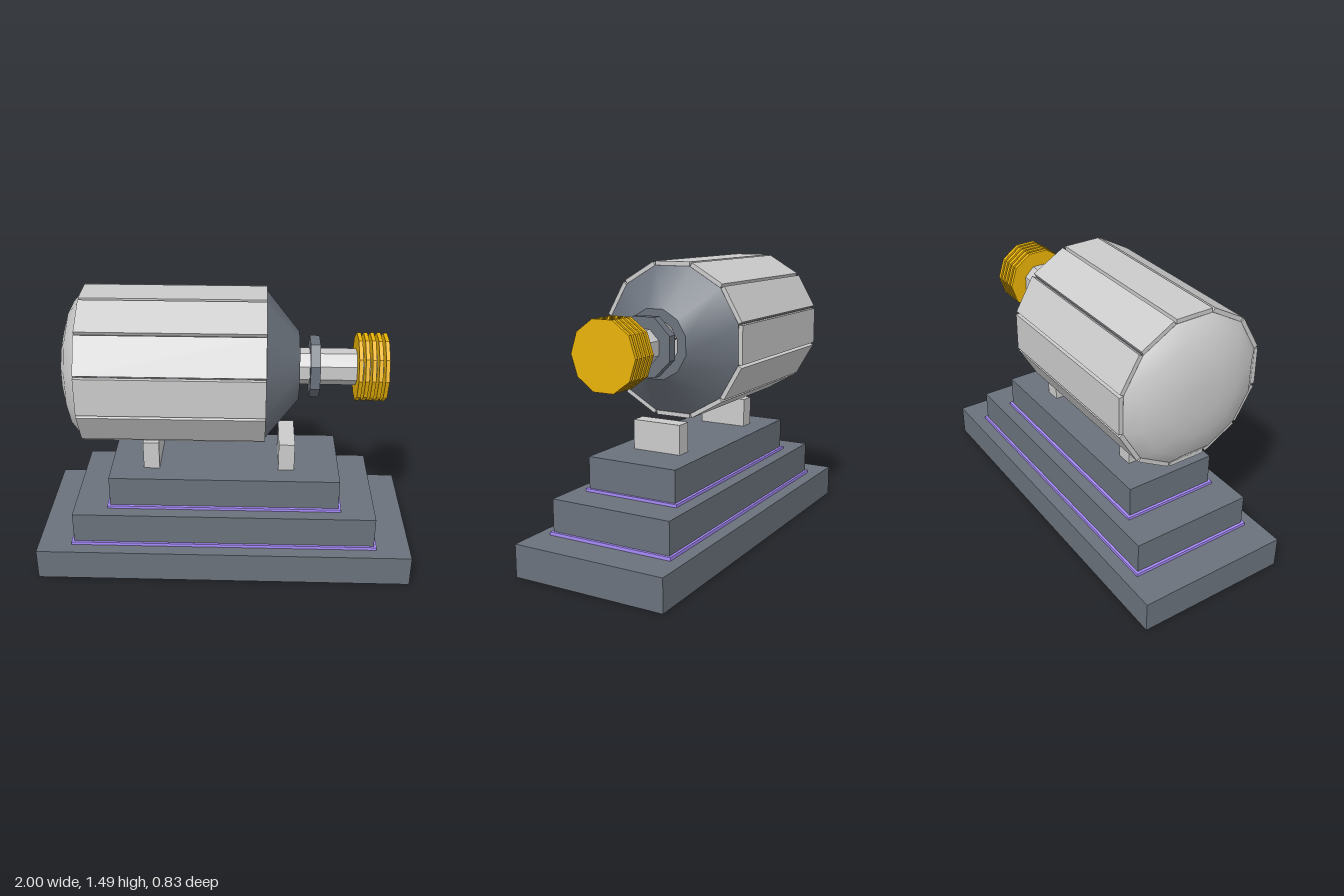
import * as THREE from 'three';

const mat = (color, extra = {}) => new THREE.MeshStandardMaterial({ color, ...extra });
const grey = mat(0xcccccc, { flatShading: true });
const greySmooth = mat(0xcccccc);
const slate = mat(0x6b727c, { flatShading: true });
const slateSmooth = mat(0x6b727c);
const gold = mat(0xeab308, { flatShading: true });
const violet = mat(0xa78bfa, { flatShading: true });

const AXIS = 1.09; // height of the barrel axis

export function createModel() {
  const model = new THREE.Group();

  const add = (name, geometry, material, parent = model) => {
    const mesh = new THREE.Mesh(geometry, material);
    mesh.name = name;
    parent.add(mesh);
    return mesh;
  };

  // Box centred on z, given x and y ranges and half depth
  const block = (name, x0, x1, y0, y1, halfZ, material) =>
    add(name, new THREE.BoxGeometry(x1 - x0, y1 - y0, halfZ * 2), material)
      .position.set((x0 + x1) / 2, (y0 + y1) / 2, 0);

  // Stepped plinth with thin trim strips
  block('plinthBottom', -1, 1, 0, 0.17, 0.415, slate);
  block('lowerTrim', -0.82, 0.82, 0.168, 0.187, 0.346, violet);
  block('plinthMiddle', -0.806, 0.806, 0.17, 0.355, 0.333, slate);
  block('upperTrim', -0.626, 0.626, 0.353, 0.37, 0.265, violet);
  block('plinthTop', -0.612, 0.612, 0.355, 0.535, 0.25, slate);

  // Support feet
  block('rearSupport', -0.435, -0.35, 0.535, 0.69, 0.136, grey);
  block('frontSupport', 0.288, 0.373, 0.535, 0.69, 0.136, grey);

  // Everything turned around the horizontal axis
  const barrel = new THREE.Group();
  barrel.name = 'barrel';
  barrel.position.y = AXIS;
  model.add(barrel);

  const drum = (name, x0, x1, radius, sides, start, material, open = false) => {
    const g = new THREE.CylinderGeometry(radius, radius, x1 - x0, sides, 1, open, start);
    g.rotateZ(-Math.PI / 2).translate((x0 + x1) / 2, 0, 0);
    return add(name, g, material, barrel);
  };
  // Profile of [radius, x] pairs with rising x
  const turned = (name, profile, material) => {
    const points = profile.map(([r, x]) => new THREE.Vector2(r, x));
    const g = new THREE.LatheGeometry(points, 12, Math.PI / 12);
    return add(name, g.rotateZ(-Math.PI / 2), material, barrel);
  };

  // Twelve-sided core with domed back and conical front
  drum('core', -0.725, 0.21, 0.391, 12, Math.PI / 12, slate, true);
  turned('rearDome', [[0, -0.835], [0.08, -0.834], [0.19, -0.825], [0.322, -0.784], [0.391, -0.725]], greySmooth);
  turned('frontCone', [[0.391, 0.21], [0.182, 0.38]], slateSmooth);
  turned('coneRim', [[0.182, 0.38], [0.13, 0.38]], slateSmooth);

  // Outer panels
  for (let i = 0; i < 12; i++) {
    const g = new THREE.BoxGeometry(0.935, 0.022, 0.198);
    g.translate(-0.2575, 0.389, 0).rotateX((i * Math.PI) / 6);
    add('panel' + (i + 1), g, grey, barrel);
  }

  // Shaft with collar and finned end
  drum('shaft', 0.34, 0.82, 0.095, 8, Math.PI / 8, grey);
  drum('collar', 0.436, 0.486, 0.16, 8, Math.PI / 8, slate);
  for (let i = 0; i < 5; i++) {
    const x = 0.677 + i * 0.0335;
    drum('fin' + (i + 1), x, x + 0.02, 0.178, 10, 0, gold);
  }

  return model;
}
